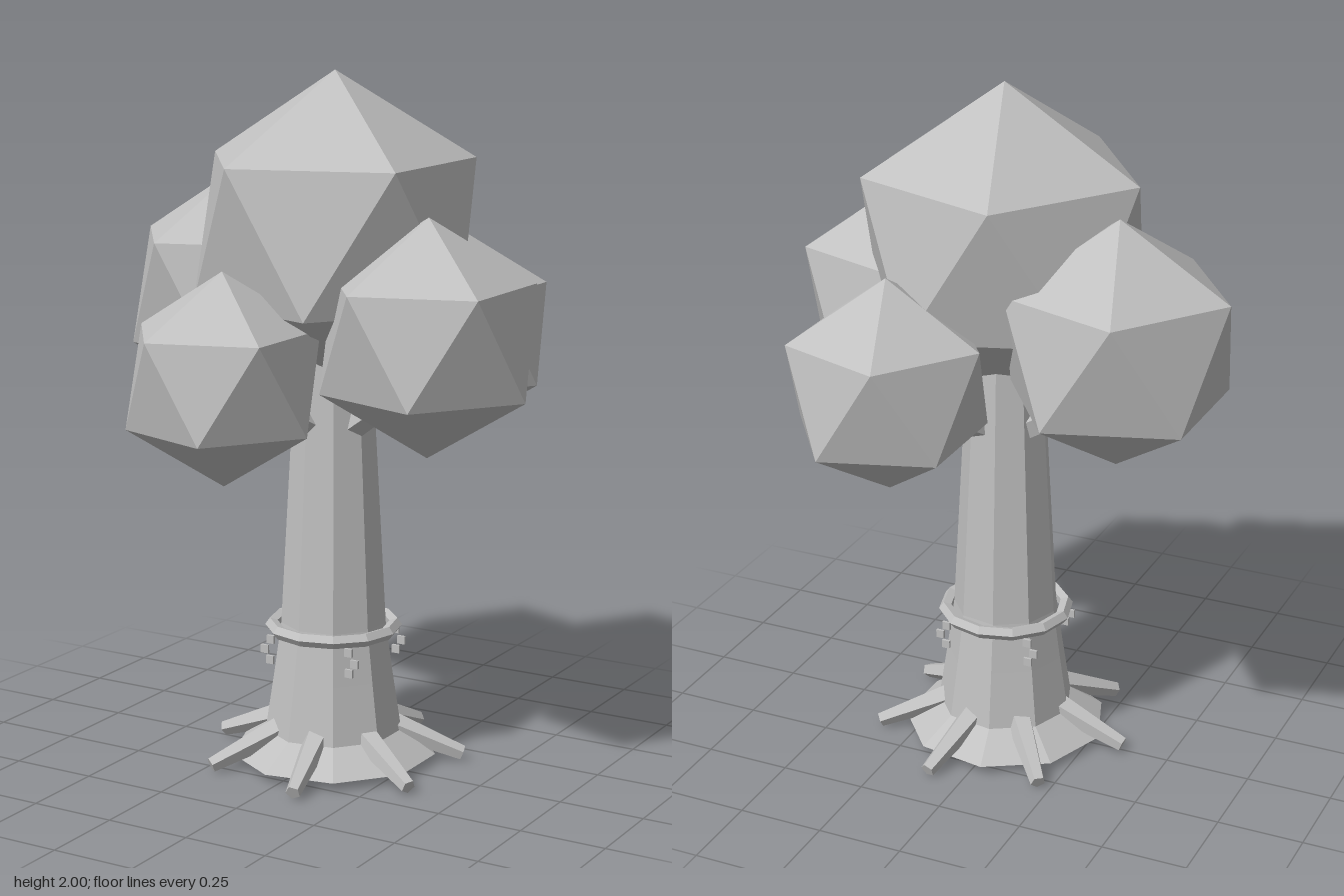
import * as THREE from 'three';

const AXIS = new THREE.Vector3(0.017, 0, -0.003); // trunk axis

export function createModel() {
  const tree = new THREE.Group();
  tree.name = 'tree';
  const grey = new THREE.MeshStandardMaterial({ color: 0xc0c0c0 });
  grey.name = 'plain grey';

  // Adds a mesh with one flat normal per face
  function add(name, geometry, parent = tree) {
    const flat = geometry.index ? geometry.toNonIndexed() : geometry;
    flat.computeVertexNormals();
    const mesh = new THREE.Mesh(flat, grey);
    mesh.name = name;
    parent.add(mesh);
    return mesh;
  }

  // Tapered five-sided limb between two points
  function limb(name, from, to, rFrom, rTo) {
    const dir = to.clone().sub(from);
    const mesh = add(name, new THREE.CylinderGeometry(rTo, rFrom, dir.length(), 5));
    mesh.position.copy(from).add(to).multiplyScalar(0.5);
    mesh.quaternion.setFromUnitVectors(new THREE.Vector3(0, 1, 0), dir.normalize());
    return mesh;
  }

  // Point at a given angle, radius and height about the trunk
  const around = (angle, r, y) =>
    new THREE.Vector3(AXIS.x + r * Math.cos(angle), y, AXIS.z + r * Math.sin(angle));

  // Nine-sided trunk with a flared, closed foot
  const profile = [[0, 0.03], [0.3, 0.03], [0.2, 0.1], [0.174, 0.27], [0.153, 0.42], [0.121, 1.0], [0.11, 1.2], [0, 1.2]];
  const trunk = add('trunk', new THREE.LatheGeometry(profile.map(([r, y]) => new THREE.Vector2(r, y)), 9));
  trunk.rotation.y = -Math.PI / 2;
  trunk.position.copy(AXIS);

  // Seven roots
  for (let i = 0; i < 7; i++) {
    const a = Math.PI + (i / 7) * Math.PI * 2;
    limb('root', around(a, 0.16, 0.11), around(a, 0.377, 0.025), 0.04, 0.022);
  }

  // Collar ring around the trunk
  const collar = add('collar', new THREE.TorusGeometry(0.178, 0.02, 5, 12));
  collar.rotation.x = Math.PI / 2;
  collar.position.set(AXIS.x, 0.407, AXIS.z);

  // Small hanging tags below the collar, three in each of four clusters
  for (const sx of [-1, 1]) for (const sz of [-1, 1]) {
    const cluster = new THREE.Group();
    cluster.name = 'hangingTags';
    cluster.position.set(AXIS.x + sx * 0.137, 0, AXIS.z + sz * 0.137);
    [[-0.008, 0.377], [0.012, 0.346], [-0.006, 0.316]].forEach(([dx, y]) => {
      add('tag', new THREE.BoxGeometry(0.024, 0.024, 0.008), cluster).position.set(sx * dx, y, 0);
    });
    tree.add(cluster);
  }

  // Foliage: x, y, z, radius, each with a corner pointing up
  const clumps = [
    [0.017, 1.555, -0.01, 0.445],
    [-0.372, 1.345, -0.127, 0.355],
    [0.391, 1.3, 0.132, 0.33],
    [-0.102, 1.182, 0.39, 0.298],
    [0.194, 1.228, -0.387, 0.308],
  ];
  const tilt = Math.atan(2 / (1 + Math.sqrt(5)));
  clumps.forEach(([x, y, z, r], i) => {
    add(i ? 'sideFoliage' : 'topFoliage', new THREE.IcosahedronGeometry(r).rotateZ(tilt)).position.set(x, y, z);
    // Branch from the trunk into each side clump
    if (i) {
      const a = Math.atan2(z - AXIS.z, x - AXIS.x);
      limb('branch', around(a, 0.07, 1.0), new THREE.Vector3(x, Math.min(y, 1.2), z), 0.042, 0.028);
    }
  });

  return tree;
}
